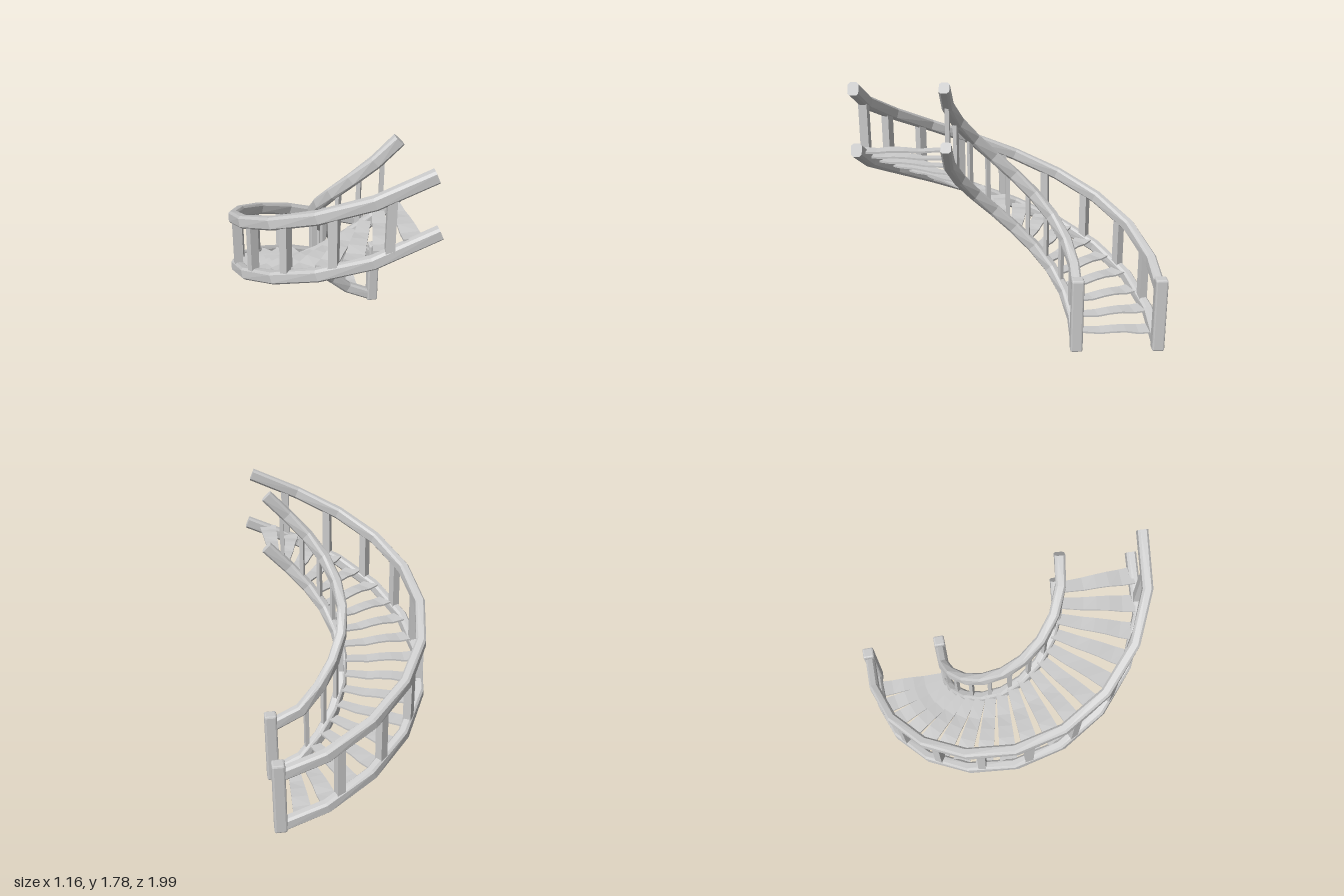
import * as THREE from 'three';
import { RoundedBoxGeometry } from 'three/addons/geometries/RoundedBoxGeometry.js';

const material = new THREE.MeshStandardMaterial({ color: 0xcccccc, flatShading: true });
const CENTRE_X = 0.41, STEP = 19.5, FOOT = -95;
const RAIL_LIFT = 0.385;
const UP = new THREE.Vector3(0, 1, 0);
const V = (x, y, z) => new THREE.Vector3(x, y, z);
const rad = THREE.MathUtils.degToRad;

// Helical rise: height of the stringer centre line at a given angle
const rise = a => 0.03 + 0.0069 * (a - FOOT);
const onHelix = (r, a, y) => V(CENTRE_X - r * Math.cos(rad(a)), y, r * Math.sin(rad(a)));

// Closed solid through a list of rings with equal point counts
function loft(rings) {
  const n = rings[0].length, pos = [], index = [];
  rings.forEach(ring => ring.forEach(p => pos.push(p.x, p.y, p.z)));
  for (let i = 0; i < rings.length - 1; i++) {
    for (let j = 0; j < n; j++) {
      const k = (j + 1) % n, a = i * n, b = a + n;
      index.push(a + j, b + j, b + k, a + j, b + k, a + k);
    }
  }
  const last = (rings.length - 1) * n;
  for (let j = 1; j < n - 1; j++) {
    index.push(0, j, j + 1, last, last + j + 1, last + j);
  }
  const g = new THREE.BufferGeometry();
  g.setAttribute('position', new THREE.Float32BufferAttribute(pos, 3));
  g.setIndex(index);
  const flat = g.toNonIndexed();
  flat.computeVertexNormals();
  return flat;
}

// Rectangle with chamfered corners, counter-clockwise
function chamferedSection(w, h, c) {
  const x = w / 2, y = h / 2;
  return [[x - c, -y], [x, -y + c], [x, y - c], [x - c, y],
    [-x + c, y], [-x, y - c], [-x, -y + c], [-x + c, -y]];
}

// Sweep a section along a faceted path, keeping it upright
function sweep(points, section) {
  return loft(points.map((p, i) => {
    const before = points[Math.max(i - 1, 0)];
    const after = points[Math.min(i + 1, points.length - 1)];
    const t = after.clone().sub(before).normalize();
    const right = t.clone().cross(UP).normalize();
    const up = right.clone().cross(t);
    return section.map(([u, v]) => p.clone().addScaledVector(right, u).addScaledVector(up, v));
  }));
}

// Faceted curve starting inside the newel post
function railPath(r, lift, endAngle) {
  const points = [V(0.54, 0.035 + lift, -r)];
  for (let a = -80; a < 90; a += STEP) points.push(onHelix(r, a, rise(a) + lift));
  points.push(onHelix(r, endAngle, rise(endAngle) + lift + 0.01));
  return points;
}

// Point on the faceted stringer at an angle
function onFacet(r, a) {
  const a0 = -80 + Math.floor((a + 80) / STEP) * STEP, a1 = a0 + STEP;
  return onHelix(r, a0, rise(a0)).lerp(onHelix(r, a1, rise(a1)), (a - a0) / STEP);
}

// Thin wedge-shaped tread with a gently warped surface
function treadGeometry(angle, y, inner, outer) {
  const wave = [0, -0.003, -0.009, 0.001, 0.004, -0.007, 0];
  const out = V(-Math.cos(rad(angle)), 0, Math.sin(rad(angle)));
  const right = out.clone().cross(UP);
  const rings = wave.map((dy, i) => {
    const f = i / (wave.length - 1);
    const half = THREE.MathUtils.lerp(0.037, 0.062, f);
    const p = V(CENTRE_X, y, 0).addScaledVector(out, THREE.MathUtils.lerp(inner, outer, f));
    return [[half, -0.006], [half, 0.006], [-half, 0.006], [-half, -0.006]].map(([u, v]) =>
      p.clone().addScaledVector(right, u).add(V(0, v + dy * (u > 0 ? 1 : 0.6), 0)));
  });
  return loft(rings);
}

export function createModel() {
  const model = new THREE.Group();
  model.name = 'curvedStaircase';
  const add = (parent, name, geometry) => {
    const mesh = new THREE.Mesh(geometry, material);
    mesh.name = name;
    parent.add(mesh);
    return mesh;
  };

  // Both sides: stringer, handrail, newel post and balusters
  const sides = [
    { name: 'outer', r: 0.96, baluster: 0.055, stringerEnd: 99, railEnd: 96 },
    { name: 'inner', r: 0.418, baluster: 0.028, stringerEnd: 97, railEnd: 95 },
  ];
  const section = chamferedSection(0.066, 0.082, 0.014);
  for (const s of sides) {
    const side = new THREE.Group();
    side.name = s.name + 'Side';
    model.add(side);
    add(side, s.name + 'Stringer', sweep(railPath(s.r, 0, s.stringerEnd), section));
    add(side, s.name + 'Handrail', sweep(railPath(s.r, RAIL_LIFT, s.railEnd), section));
    add(side, s.name + 'NewelPost', new RoundedBoxGeometry(0.082, 0.51, 0.082, 1, 0.012))
      .position.set(0.541, 0.255, -s.r);

    for (let i = 0; i < 9; i++) {
      const a = -74.5 + i * STEP;
      const b = add(side, s.name + 'Baluster', new THREE.BoxGeometry(s.baluster, RAIL_LIFT, s.baluster));
      b.position.copy(onFacet(s.r, a));
      b.position.y += RAIL_LIFT / 2;
      b.rotation.y = rad(a);
    }
  }

  // Treads fan out between the stringers
  const treads = new THREE.Group();
  treads.name = 'treads';
  model.add(treads);
  const count = 18;
  for (let i = 0; i < count; i++) {
    const f = i / (count - 1);
    add(treads, 'tread', treadGeometry(-89 + 179 * f, 0.075 + 1.265 * f, 0.42, 0.935));
  }
  return model;
}
